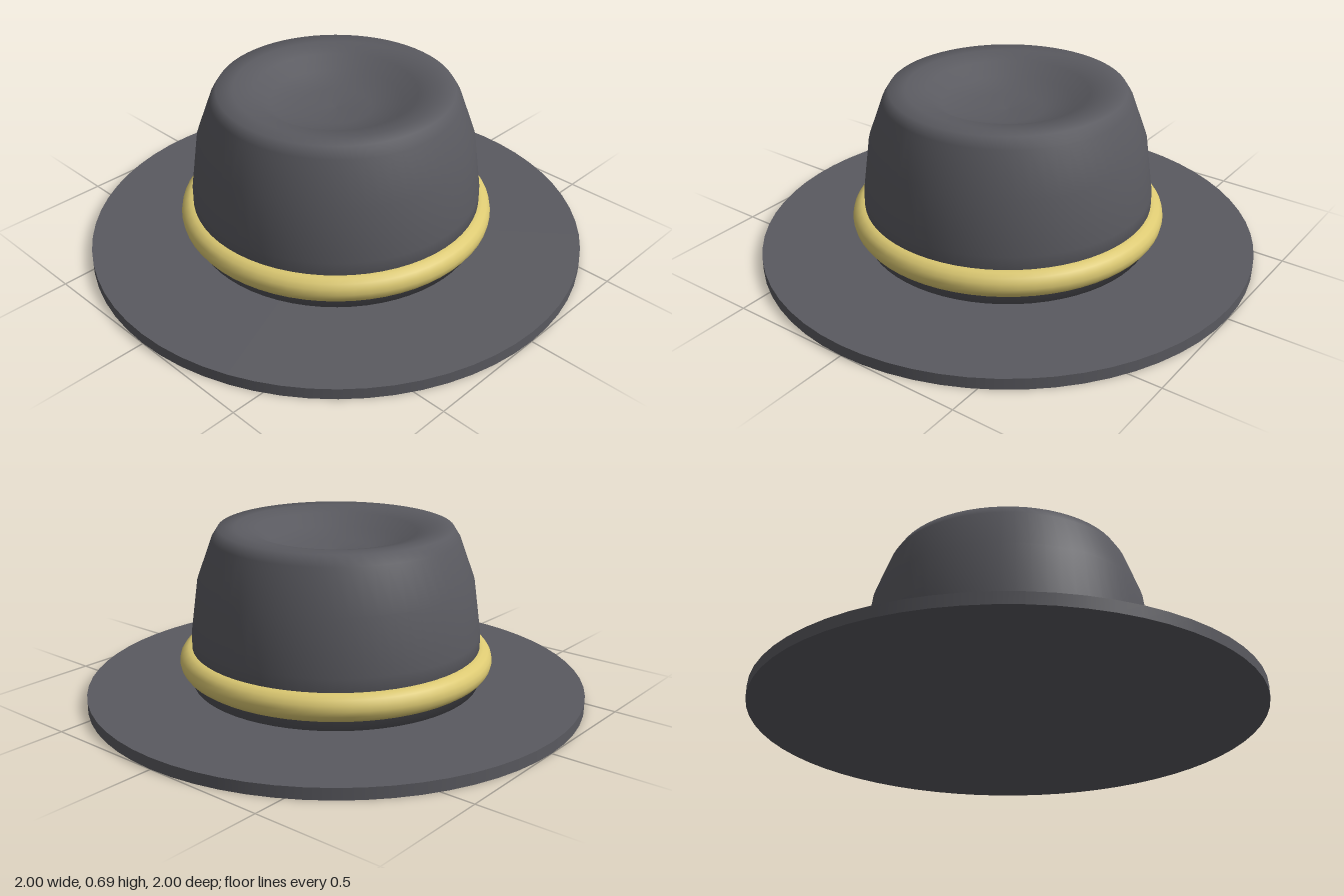
import * as THREE from 'three';

const SEGMENTS = 64;

export function createModel() {
  const hat = new THREE.Group();
  hat.name = 'hat';

  const felt = new THREE.MeshStandardMaterial({ color: 0x5a5a60 });
  felt.name = 'charcoal felt';
  const gold = new THREE.MeshStandardMaterial({ color: 0xdcc972 });
  gold.name = 'pale gold';

  const add = (name, geometry, material, y = 0) => {
    const mesh = new THREE.Mesh(geometry, material);
    mesh.name = name;
    mesh.position.y = y;
    hat.add(mesh);
    return mesh;
  };

  // Flat round brim
  const brimHeight = 0.045;
  add('brim', new THREE.CylinderGeometry(1, 1, brimHeight, SEGMENTS), felt, brimHeight / 2);

  // Closed crown: base, tapering wall, rounded shoulder and dished top
  const profile = [
    [0, 0.06], [0.58, 0.06], [0.58, 0.26], [0.55, 0.48], [0.49, 0.645],
    [0.465, 0.685], [0.4, 0.685], [0.32, 0.668], [0.26, 0.625], [0.14, 0.595], [0, 0.588],
  ].map(([r, y]) => new THREE.Vector2(r, y));
  add('crown', new THREE.LatheGeometry(profile, SEGMENTS), felt);

  // Rolled band around the crown
  const band = new THREE.TorusGeometry(0.575, 0.055, 16, SEGMENTS);
  band.rotateX(-Math.PI / 2);
  add('band', band, gold, 0.153);

  return hat;
}
